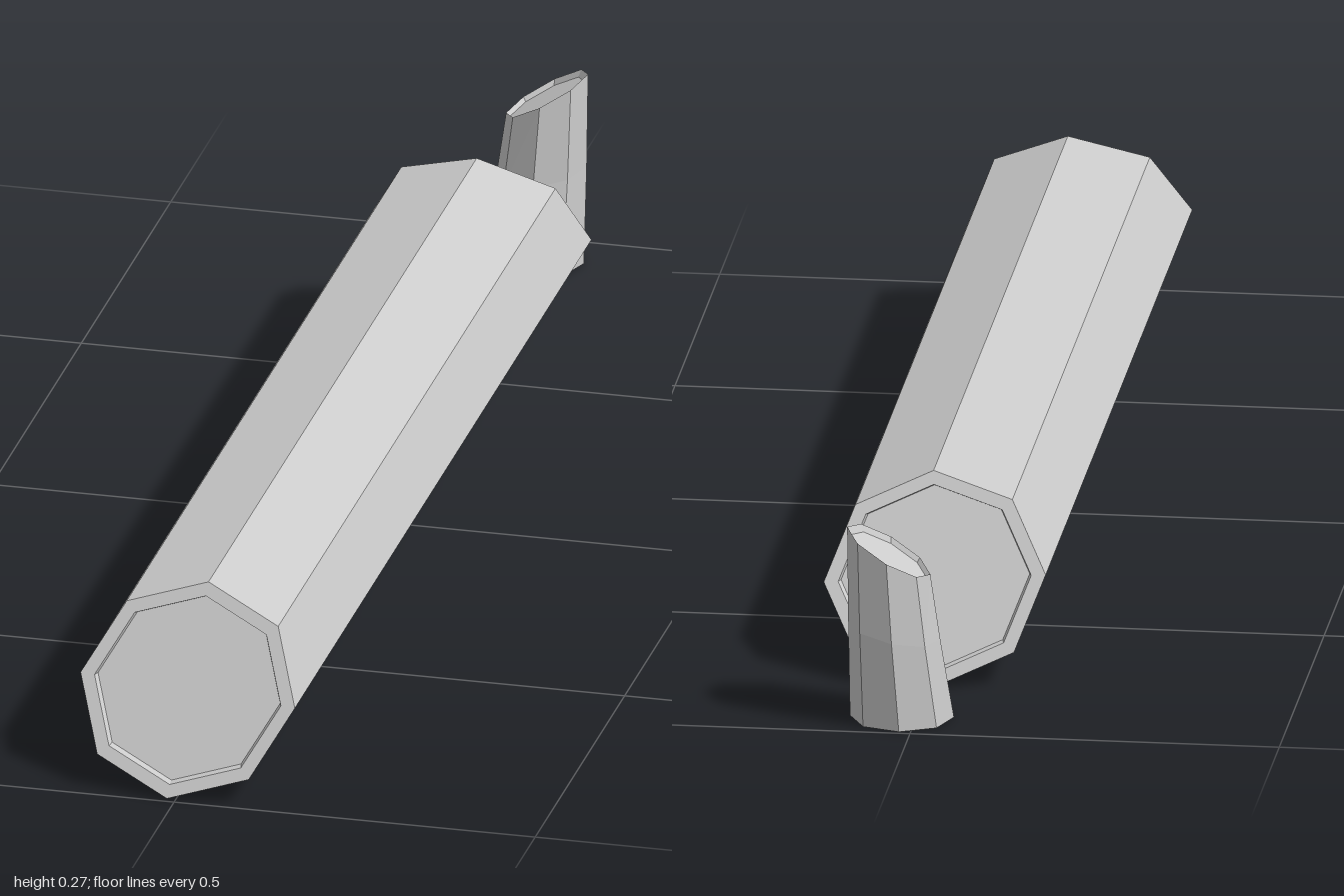
import * as THREE from 'three';

const SIDES = 8;
const material = new THREE.MeshStandardMaterial({ color: 0xcccccc, flatShading: true, side: THREE.DoubleSide });

// Skins a list of eight-point rings; the end rings can be closed with a fan.
function loft(name, rings, capStart, capEnd) {
  const positions = rings.flat().flatMap((p) => p.toArray());
  const index = [];
  for (let r = 0; r < rings.length - 1; r++) {
    for (let i = 0; i < SIDES; i++) {
      const a = r * SIDES + i, b = r * SIDES + ((i + 1) % SIDES);
      index.push(a, b, b + SIDES, a, b + SIDES, a + SIDES);
    }
  }
  const last = (rings.length - 1) * SIDES;
  for (let i = 1; i < SIDES - 1; i++) {
    if (capStart) index.push(0, i + 1, i);
    if (capEnd) index.push(last, last + i, last + i + 1);
  }
  const indexed = new THREE.BufferGeometry();
  indexed.setAttribute('position', new THREE.Float32BufferAttribute(positions, 3));
  indexed.setIndex(index);
  const geometry = indexed.toNonIndexed();
  geometry.computeVertexNormals();
  const mesh = new THREE.Mesh(geometry, material);
  mesh.name = name;
  return mesh;
}

const ring = (point) => Array.from({ length: SIDES }, (_, i) => point((i / SIDES) * Math.PI * 2));

// Oval log section, with z set by a sloping cut.
function logRing(scale, cut) {
  return ring((t) => {
    const a = t - 0.07;
    const x = 0.15 * scale * Math.cos(a), y = 0.132 + 0.129 * scale * Math.sin(a);
    return new THREE.Vector3(x, y, cut(y));
  });
}

// Round stump section seen from above, with y rising towards +x by the slope.
function stumpRing(cx, cz, radius, y, slope) {
  return ring((t) => {
    const dx = radius * Math.cos(t + 0.06), dz = -radius * Math.sin(t + 0.06);
    return new THREE.Vector3(cx + dx, y + slope * dx, cz + dz);
  });
}

export function createModel() {
  const model = new THREE.Group();
  model.name = 'fallenTree';

  // Log: both ends cut at a slant, each with a bark rim and a shallow sunken face
  const front = (y) => 1 - 0.577 * y;
  const back = (y) => -0.8 + 0.577 * y;
  const depth = 0.008;
  model.add(loft('log', [
    logRing(0.85, (y) => back(y) + depth),
    logRing(0.87, back),
    logRing(1, back),
    logRing(1, front),
    logRing(0.87, front),
    logRing(0.85, (y) => front(y) - depth),
  ], true, true));

  // Stump: leaning, open underneath, with a slanted sunken top
  model.add(loft('stump', [
    stumpRing(0.02, -0.924, 0.07, 0, 0),
    stumpRing(0.029, -0.936, 0.062, 0.125, 0.2),
    stumpRing(0.036, -0.94, 0.056, 0.238, 0.58),
    stumpRing(0.036, -0.94, 0.051, 0.23, 0.58),
  ], false, true));

  return model;
}
